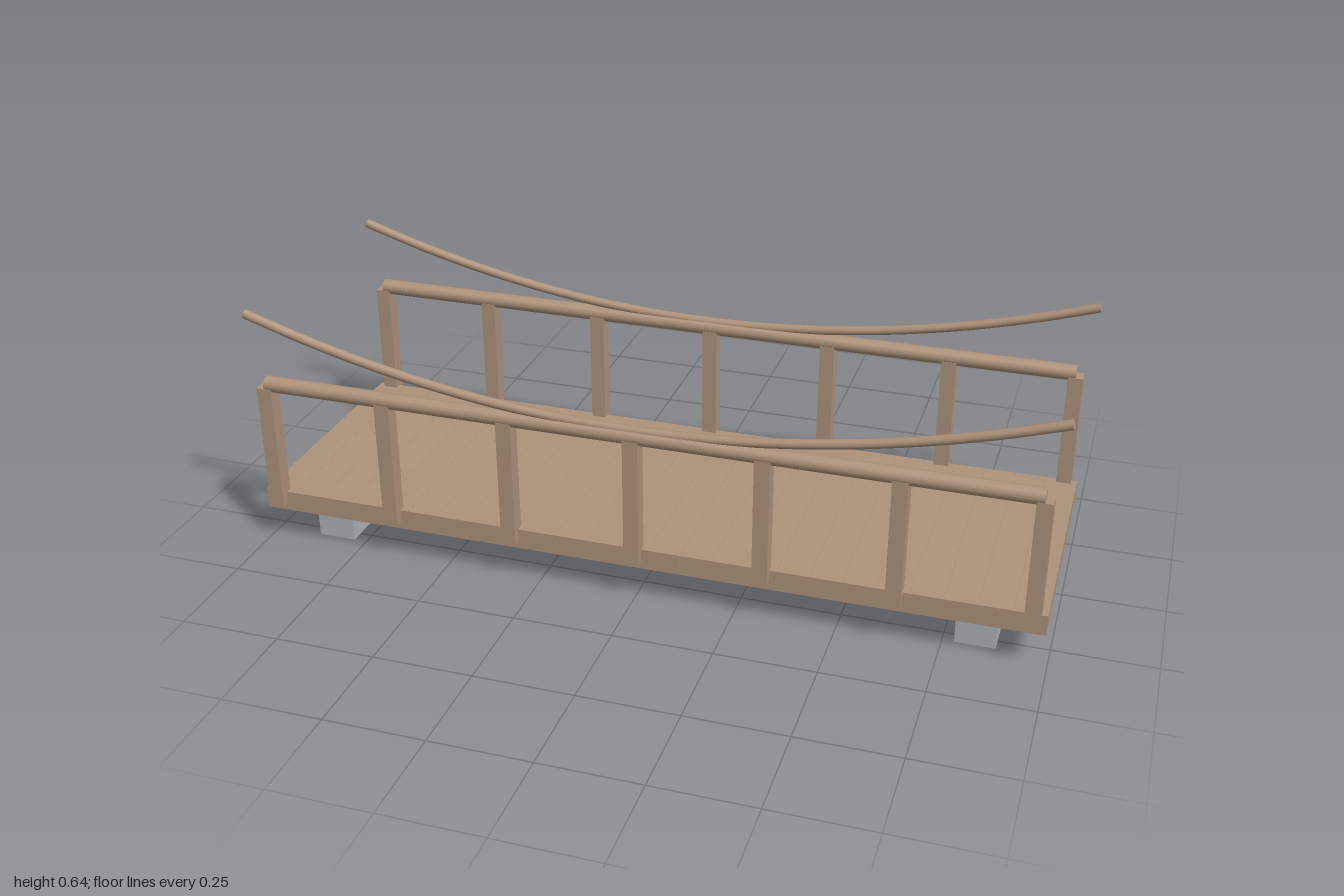
import * as THREE from 'three';

const wood = new THREE.MeshStandardMaterial({ color: 0xad927b });
wood.name = 'wood';
const stone = new THREE.MeshStandardMaterial({ color: 0xadb2b4 });
stone.name = 'stone';

const SIDE_Z = 0.332; // railing distance from the centre line

export function createModel() {
  const model = new THREE.Group();
  model.name = 'footbridge';

  const add = (name, geometry, material, x, y, z) => {
    const mesh = new THREE.Mesh(geometry, material);
    mesh.name = name;
    mesh.position.set(x, y, z);
    model.add(mesh);
    return mesh;
  };

  // Deck of narrow planks laid side by side
  const count = 25, pitch = 0.0794;
  const plank = new THREE.BoxGeometry(pitch - 0.0006, 0.053, 0.662);
  for (let i = 0; i < count; i++) {
    add('deckPlank', plank, wood, (i - (count - 1) / 2) * pitch - 0.002, 0.1165, 0);
  }

  // Footing blocks under the four corners
  const footing = new THREE.BoxGeometry(0.098, 0.09, 0.1);
  for (const x of [-0.832, 0.828]) {
    for (const z of [-0.231, 0.233]) add('footing', footing, stone, x, 0.045, z);
  }

  // Sagging rope path, shared by both sides
  const points = [];
  for (let i = 0; i <= 16; i++) {
    const t = i / 8 - 1;
    points.push(new THREE.Vector3(t * 0.9965, 0.464 + 0.168 * t * t, 0));
  }
  const path = new THREE.CatmullRomCurve3(points);
  const rope = new THREE.TubeGeometry(path, 32, 0.012, 12);
  const ropeCap = new THREE.CircleGeometry(0.012, 12);

  const post = new THREE.BoxGeometry(0.038, 0.332, 0.04);
  const rail = new THREE.CylinderGeometry(0.0205, 0.0205, 1.914, 16);

  for (const side of [1, -1]) {
    const z = side * SIDE_Z;

    // Posts and round handrail
    for (let i = -3; i <= 3; i++) add('railingPost', post, wood, i * 0.319, 0.276, z);
    add('handrail', rail, wood, 0, 0.449, z).rotation.z = Math.PI / 2;

    // Rope with closed ends
    add('rope', rope, wood, 0, 0, z);
    for (const end of [0, 1]) {
      const p = path.getPointAt(end);
      const outward = path.getTangentAt(end).multiplyScalar(end ? 1 : -1);
      const cap = add('ropeEnd', ropeCap, wood, p.x, p.y, z);
      cap.quaternion.setFromUnitVectors(new THREE.Vector3(0, 0, 1), outward);
    }
  }

  return model;
}
